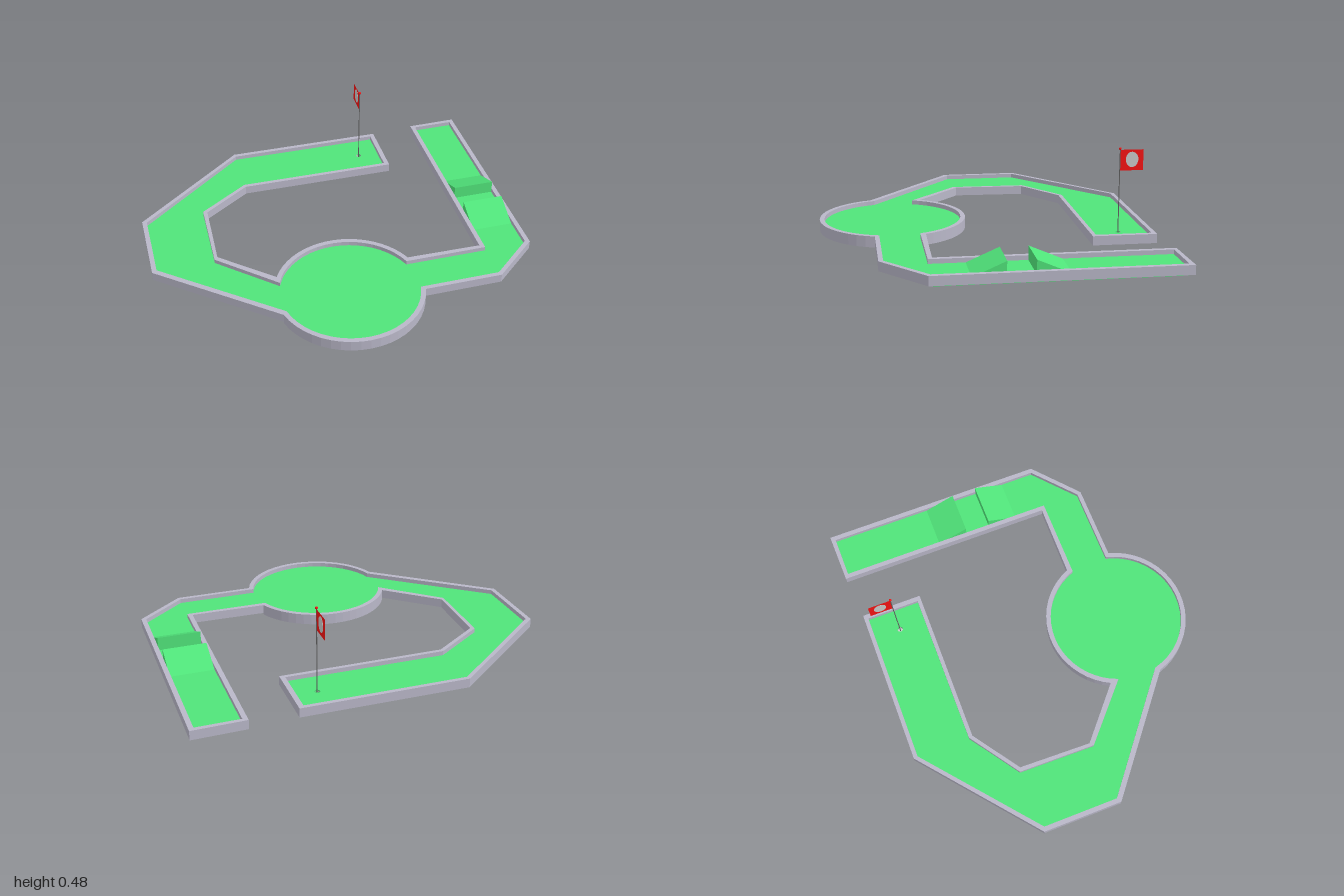
import * as THREE from 'three';

const mat = (color, side = THREE.FrontSide) => new THREE.MeshStandardMaterial({ color, side });
const CX = -0.035, CZ = 0.473; // centre of the round green
const FLOOR = 0.035, WALL = 0.058, BASE = 0.01;

// Points on the round green between the directions of two corner points
function arc(from, to, r, n) {
  const a0 = Math.atan2(from[1] - CZ, from[0] - CX);
  const a1 = Math.atan2(to[1] - CZ, to[0] - CX);
  return Array.from({ length: n + 1 }, (_, i) => {
    const a = a0 + (a1 - a0) * i / n;
    return [CX + r * Math.cos(a), CZ + r * Math.sin(a)];
  });
}

// Points turned clockwise or counter-clockwise, so that faces point outwards
function wound(pts, clockwise) {
  const v = pts.map(([x, z]) => new THREE.Vector2(x, z));
  return THREE.ShapeUtils.isClockWise(v) === clockwise ? v : v.reverse();
}

// Extrude an (x, z) outline between two heights
function slab(pts, y0, y1, holes = []) {
  const shape = new THREE.Shape(wound(pts, false));
  holes.forEach((h) => shape.holes.push(new THREE.Path(wound(h, true))));
  const geo = new THREE.ExtrudeGeometry(shape, { depth: y1 - y0, bevelEnabled: false });
  return geo.rotateX(Math.PI / 2).translate(0, y1, 0);
}

export function createModel() {
  const group = new THREE.Group();
  const add = (name, geo, material, x = 0, y = 0, z = 0) => {
    const mesh = new THREE.Mesh(geo, material);
    mesh.name = name;
    mesh.position.set(x, y, z);
    group.add(mesh);
  };
  const green = mat(0x50e47a), stone = mat(0xb9b7c8), red = mat(0xf81414);
  const metal = mat(0x666666), pale = mat(0xcccccc);

  // Arcs of the round green, outer and inner face of the kerb
  const outerFront = arc([-0.405, 0.58], [0.33, 0.58], 0.388, 20);
  const outerBack = arc([0.32, 0.325], [-0.384, 0.296], 0.388, 20);
  const innerFront = arc([-0.39, 0.56], [0.31, 0.557], 0.363, 20);
  const innerBack = arc([0.31, 0.35], [-0.379, 0.344], 0.363, 20);

  // Whole lane outlines
  const outer = [
    [0.478, -0.837], [-0.39, -0.837], [-1, -0.333], [-1, 0.1],
    ...outerFront,
    [0.753, 0.58], [1, 0.367], [1, -0.864], [0.725, -0.858], [0.725, 0.328],
    ...outerBack,
    [-0.65, 0.063], [-0.638, -0.328], [-0.385, -0.505], [0.478, -0.505],
  ];
  const inner = [
    [0.452, -0.815], [-0.385, -0.815], [-0.975, -0.323], [-0.975, 0.085],
    ...innerFront,
    [0.745, 0.557], [0.975, 0.357], [0.975, -0.84], [0.75, -0.838], [0.75, 0.35],
    ...innerBack,
    [-0.668, 0.08], [-0.66, -0.338], [-0.39, -0.526], [0.452, -0.526],
  ];

  // Kerb, with a deeper skirt round the circle
  add('kerb', slab(outer, BASE, WALL, [inner]), stone);
  add('frontCircleSkirt', slab([...outerFront, ...innerFront.slice().reverse()], 0, BASE), stone);
  add('backCircleSkirt', slab([...outerBack, ...innerBack.slice().reverse()], 0, BASE), stone);

  // Turf with the hole cut out
  const hx = 0.337, hz = -0.67, hr = 0.015;
  const cupHole = Array.from({ length: 16 }, (_, i) => {
    const a = i / 16 * Math.PI * 2;
    return [hx + hr * Math.cos(a), hz + hr * Math.sin(a)];
  });
  add('turf', slab(inner, BASE, FLOOR, [cupHole]), green);
  add('circleBase', new THREE.CylinderGeometry(0.363, 0.363, BASE, 40), green, CX, BASE / 2, CZ);
  add('startLaneBase', slab([
    [0.3, 0.35], [0.75, 0.35], [0.75, -0.838], [0.975, -0.84],
    [0.975, 0.357], [0.745, 0.557], [0.3, 0.557],
  ], 0, BASE), green);

  // Cup
  add('cup', new THREE.CylinderGeometry(hr, hr, 0.026, 16, 1, true),
    mat(0xcccccc, THREE.DoubleSide), hx, 0.022, hz);
  add('cupBottom', new THREE.CylinderGeometry(hr, hr, 0.003, 16), pale, hx, 0.0105, hz);

  // Two jump ramps with their tall ends facing, each a solid wedge
  [['frontRamp', 0.01, 0.172], ['backRamp', -0.127, -0.292]].forEach(([name, high, low]) => {
    const wedge = new THREE.Shape(wound([[-high, 0.106], [-high, 0.03], [-low, 0.03], [-low, FLOOR]], false));
    const geo = new THREE.ExtrudeGeometry(wedge, { depth: 0.225, bevelEnabled: false });
    add(name, geo.rotateY(Math.PI / 2).translate(0.75, 0, 0), green);
  });

  // Flag pole, knob, cloth and round badge
  add('flagPole', new THREE.CylinderGeometry(0.0025, 0.0025, 0.463, 10), metal, hx, 0.2435, hz);
  add('poleKnob', new THREE.SphereGeometry(0.007, 12, 8), red, hx, 0.474, hz);
  add('flag', new THREE.PlaneGeometry(0.122, 0.108).rotateY(Math.PI / 2),
    mat(0xf81414, THREE.DoubleSide), hx, 0.414, hz - 0.061);
  const badge = new THREE.CylinderGeometry(0.04, 0.04, 0.003, 24).rotateZ(Math.PI / 2).scale(1, 1, 0.82);
  add('flagBadge', badge, pale, hx, 0.417, hz - 0.063);

  return group;
}
